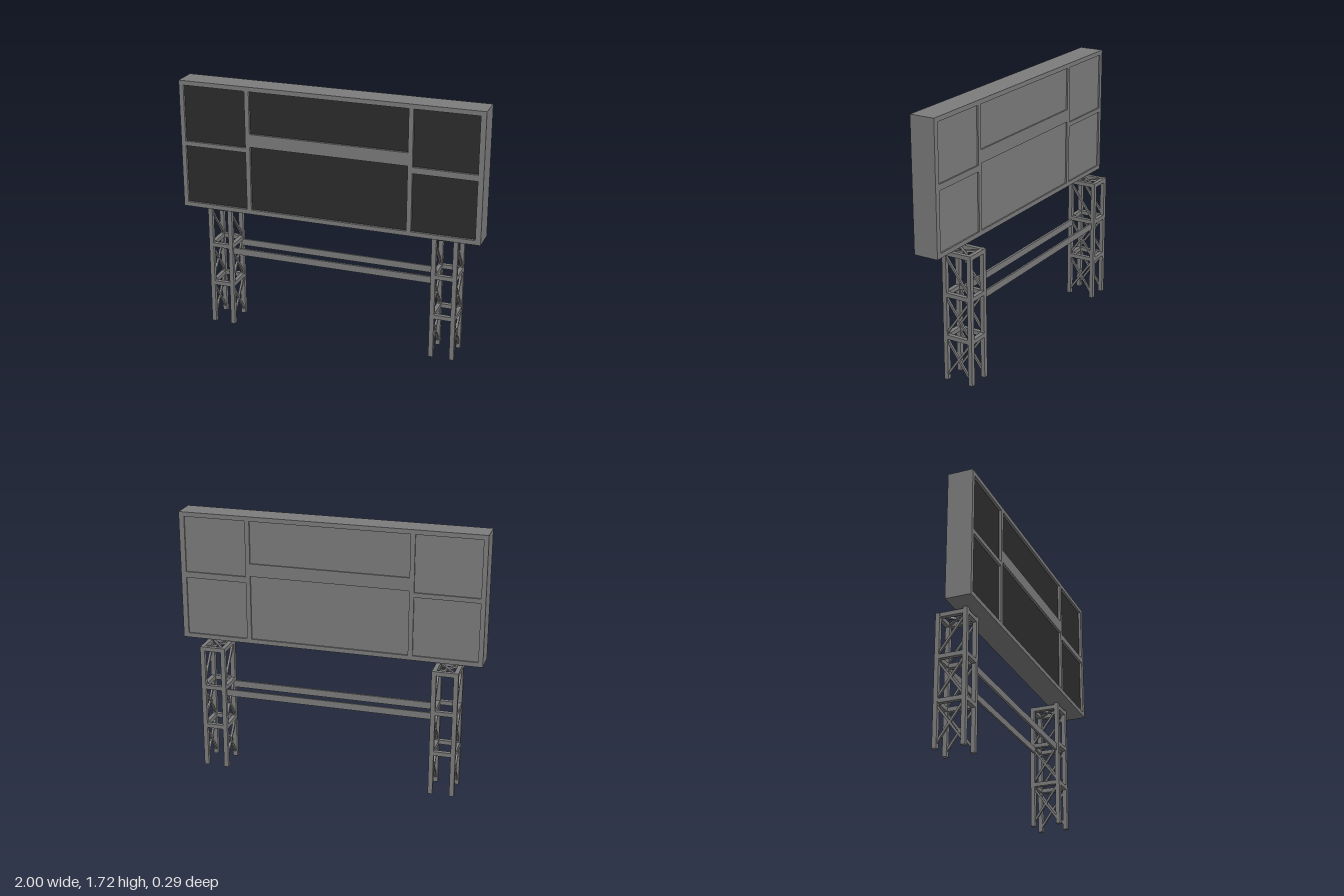
import * as THREE from 'three';

const steel = new THREE.MeshStandardMaterial({ color: 0x7c7c7c });
const dark = new THREE.MeshStandardMaterial({ color: 0x2c2c2c });

function box(parent, name, size, pos, material = steel) {
  const mesh = new THREE.Mesh(new THREE.BoxGeometry(...size), material);
  mesh.name = name;
  mesh.position.set(...pos);
  parent.add(mesh);
  return mesh;
}

// Square bar running between two points
function bar(parent, name, a, b, width) {
  const from = new THREE.Vector3(...a), to = new THREE.Vector3(...b);
  const mid = from.clone().add(to).multiplyScalar(0.5);
  const mesh = box(parent, name, [width, width, from.distanceTo(to)], mid.toArray());
  mesh.quaternion.setFromUnitVectors(new THREE.Vector3(0, 0, 1), to.sub(from).normalize());
}

function rectangle(target, x0, y0, x1, y1) {
  target.moveTo(x0, y0);
  target.lineTo(x1, y0);
  target.lineTo(x1, y1);
  target.lineTo(x0, y1);
  target.closePath();
  return target;
}

// Openings of the sign: x0, y0, x1, y1
const cells = [
  [-0.97, 0.895, -0.55, 1.285], [-0.97, 1.315, -0.55, 1.69],
  [-0.52, 0.895, 0.525, 1.325], [-0.52, 1.41, 0.525, 1.69],
  [0.555, 0.895, 0.965, 1.28], [0.555, 1.32, 0.965, 1.69],
];

function createSign() {
  const sign = new THREE.Group();
  sign.name = 'signBoard';

  // Deep frame with dividers around six openings
  const shape = rectangle(new THREE.Shape(), -1, 0.865, 1, 1.72);
  for (const c of cells) shape.holes.push(rectangle(new THREE.Path(), ...c));
  const frame = new THREE.Mesh(
    new THREE.ExtrudeGeometry(shape, { depth: 0.165, bevelEnabled: false }), steel);
  frame.name = 'signFrame';
  frame.position.z = -0.02;
  sign.add(frame);

  // Dark display just inside the front and a plate just inside the back of every opening
  for (const [x0, y0, x1, y1] of cells) {
    const x = (x0 + x1) / 2, y = (y0 + y1) / 2;
    box(sign, 'displayPanel', [x1 - x0, y1 - y0, 0.02], [x, y, 0.118], dark);
    box(sign, 'backPlate', [x1 - x0, y1 - y0, 0.02], [x, y, 0]);
  }
  return sign;
}

const HALF = 0.07, FRONT = 0.05, BACK = -0.127;
const levels = [0.01, 0.29, 0.57, 0.84];

function createTower(x) {
  const tower = new THREE.Group();
  tower.name = 'supportTower';
  tower.position.x = x;

  // Four posts
  for (const px of [-HALF, HALF]) {
    for (const z of [FRONT, BACK]) {
      const top = z === FRONT ? 0.87 : 0.855;
      box(tower, 'post', [0.03, top, 0.028], [px, top / 2, z]);
    }
  }

  // Horizontal rings
  for (const y of levels.slice(1)) {
    for (const z of [FRONT, BACK]) bar(tower, 'crossRail', [-HALF, y, z], [HALF, y, z], 0.028);
    for (const px of [-HALF, HALF]) bar(tower, 'sideRail', [px, y, BACK], [px, y, FRONT], 0.028);
  }

  // Crossed braces on the two sides; the top bay has one sloping brace
  for (let i = 0; i < 3; i++) {
    const low = levels[i] + 0.015, high = levels[i + 1] - 0.015;
    for (const px of [-HALF, HALF]) {
      bar(tower, 'sideBrace', [px, high, FRONT], [px, low, BACK], 0.014);
      if (i < 2) bar(tower, 'sideBrace', [px, low, FRONT], [px, high, BACK], 0.014);
    }
  }

  // Horizontal cross inside the top ring
  bar(tower, 'topBrace', [-HALF, 0.84, FRONT], [HALF, 0.84, BACK], 0.014);
  bar(tower, 'topBrace', [HALF, 0.84, FRONT], [-HALF, 0.84, BACK], 0.014);
  return tower;
}

export function createModel() {
  const model = new THREE.Group();
  model.name = 'billboard';
  model.add(createSign(), createTower(-0.785), createTower(0.755));

  // Rails linking the towers
  box(model, 'frontTieRail', [1.4, 0.045, 0.016], [-0.015, 0.54, 0.042]);
  box(model, 'backTieRail', [1.4, 0.045, 0.012], [-0.015, 0.54, -0.116]);
  return model;
}
